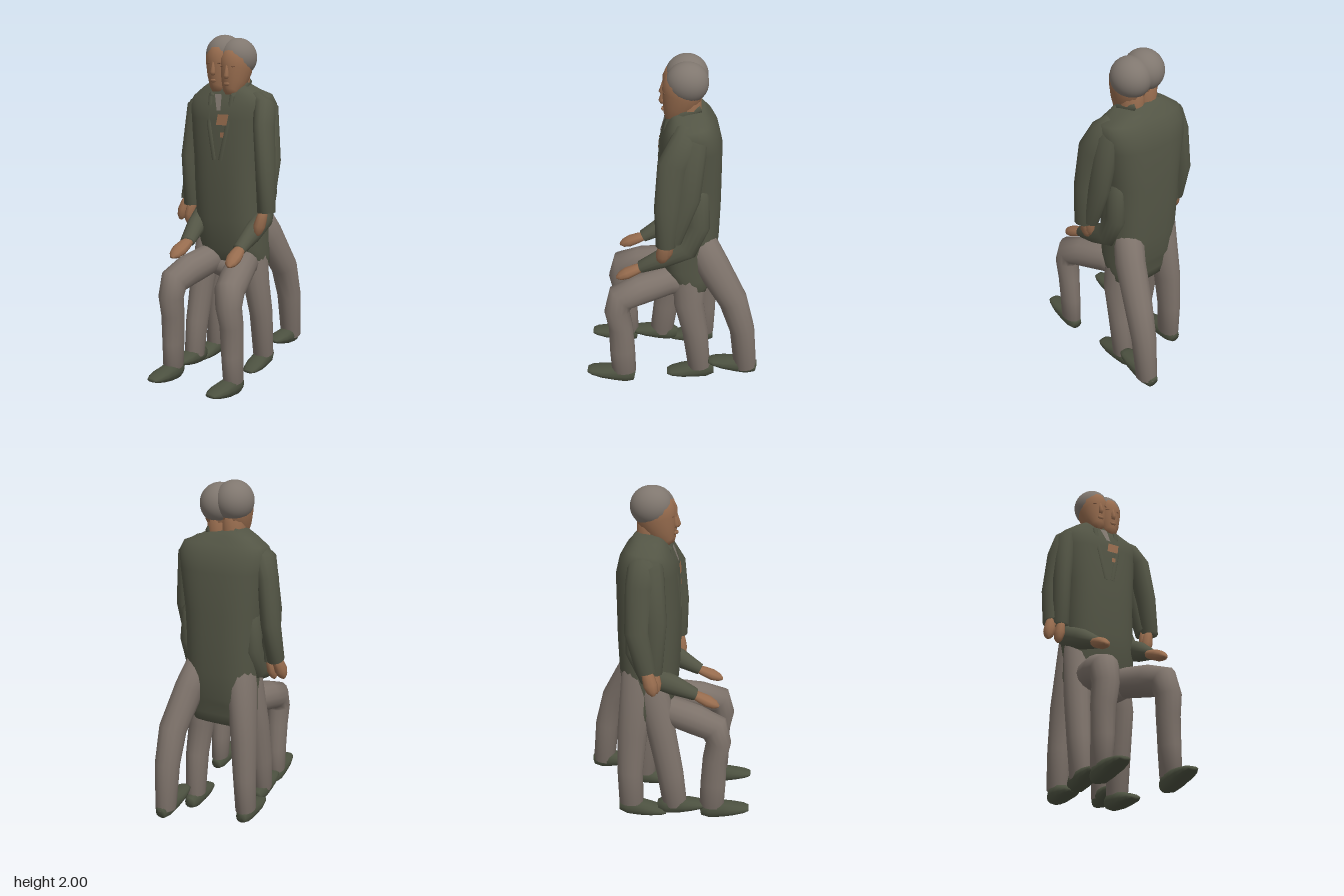
import * as THREE from 'three';

const mat = (name, color) => Object.assign(new THREE.MeshStandardMaterial({ color }), { name });

// Smooth skin over rings along a path; each ring is [x, y, z, half width, half depth]
function loft(rings, sides = 14, power = 2) {
  const pos = [], idx = [], n = rings.length;
  const P = rings.map(r => new THREE.Vector3(r[0], r[1], r[2]));
  const round = c => Math.sign(c) * Math.abs(c) ** (2 / power);
  rings.forEach((r, i) => {
    const t = P[Math.min(i + 1, n - 1)].clone().sub(P[Math.max(i - 1, 0)]).normalize();
    const u = new THREE.Vector3(1, 0, 0).addScaledVector(t, -t.x).normalize();
    const v = t.clone().cross(u);
    for (let j = 0; j < sides; j++) {
      const a = j / sides * Math.PI * 2;
      const p = P[i].clone().addScaledVector(u, r[3] * round(Math.cos(a))).addScaledVector(v, r[4] * round(Math.sin(a)));
      pos.push(p.x, p.y, p.z);
    }
  });
  const first = n * sides, last = first + 1, top = (n - 1) * sides;
  pos.push(...P[0].toArray(), ...P[n - 1].toArray());
  for (let j = 0; j < sides; j++) {
    const k = (j + 1) % sides;
    for (let i = 0; i < n - 1; i++) {
      const a = i * sides + j, b = i * sides + k;
      idx.push(a, b, a + sides, b, b + sides, a + sides);
    }
    idx.push(first, k, j, last, top + j, top + k);
  }
  const g = new THREE.BufferGeometry();
  g.setAttribute('position', new THREE.Float32BufferAttribute(pos, 3));
  g.setIndex(idx);
  g.computeVertexNormals();
  return g;
}

export function createModel() {
  const model = new THREE.Group();
  const green = mat('jacketGreen', 0x535545), taupe = mat('trouserTaupe', 0x7d726a);
  const grey = mat('hairGrey', 0x80776f), skin = mat('skin', 0x976c4e);
  const shoeGreen = mat('shoeGreen', 0x4c5140), dark = mat('featureBrown', 0x7a553e);
  const add = (name, geo, m, parent = model) => {
    const mesh = new THREE.Mesh(geo, m);
    mesh.name = name;
    parent.add(mesh);
    return mesh;
  };

  // Jacket body
  const body = [
    [0.01, 0.6, -0.15, 0.17, 0.065], [0.01, 0.65, -0.14, 0.208, 0.095], [0.01, 0.71, -0.115, 0.213, 0.13],
    [0.01, 0.78, -0.1, 0.213, 0.158],
    [0.005, 0.95, -0.1, 0.214, 0.174], [0, 1.15, -0.1, 0.218, 0.18], [0, 1.3, -0.1, 0.223, 0.18],
    [0, 1.53, -0.105, 0.25, 0.173], [0, 1.61, -0.1, 0.262, 0.155], [0, 1.66, -0.095, 0.24, 0.13],
    [0, 1.7, -0.09, 0.17, 0.105], [0.005, 1.735, -0.09, 0.11, 0.085],
  ];
  add('jacket', loft(body, 36, 2.7), green);

  // Flat outline draped on the jacket front
  const frontZ = y => {
    const i = Math.max(1, body.findIndex(r => r[1] >= y)), a = body[i - 1], b = body[i];
    return THREE.MathUtils.mapLinear(y, a[1], b[1], a[2] + a[4], b[2] + b[4]);
  };
  const patch = (name, points, m) => {
    const g = new THREE.ShapeGeometry(new THREE.Shape(points.map(p => new THREE.Vector2(...p))));
    const p = g.attributes.position;
    for (let i = 0; i < p.count; i++) p.setZ(i, frontZ(p.getY(i)) + 0.006);
    g.computeVertexNormals();
    add(name, g, m);
  };
  patch('shirtFront', [[-0.04, 1.67], [-0.01, 1.58], [0.015, 1.58], [0.005, 1.67]], grey);
  patch('chestSkin', [[-0.01, 1.5], [0.06, 1.5], [0.07, 1.56], [0, 1.56]], skin);
  patch('chestSkinSmall', [[0.02, 1.43], [0.04, 1.43], [0.045, 1.46], [0.02, 1.46]], skin);
  for (const s of [-1, 1]) {
    // Lapels and turned collar edges
    const lapel = [[0.02, 1.3], [0.06, 1.5], [0.07, 1.66]].map(p => [p[0] * s, p[1], frontZ(p[1]) - 0.005, 0.016, 0.009]);
    add('lapel', loft(lapel, 8), green);
    add('collar', loft([[s * 0.065, 1.65, 0.02, 0.02, 0.025], [s * 0.1, 1.71, -0.06, 0.025, 0.03],
      [s * 0.07, 1.735, -0.15, 0.025, 0.025]], 8), green);
  }

  // Sleeves
  const sleeves = {
    leftForwardSleeve: [[0.165, 1.645, -0.09, 0.045, 0.07], [0.225, 1.6, -0.07, 0.06, 0.085], [0.256, 1.49, -0.005, 0.055, 0.085],
      [0.285, 1.25, 0.025, 0.053, 0.073], [0.298, 1.02, 0.035, 0.05, 0.055]],
    leftHangingSleeve: [[0.165, 1.64, -0.11, 0.045, 0.07], [0.22, 1.59, -0.11, 0.06, 0.08], [0.265, 1.3, -0.08, 0.05, 0.075],
      [0.275, 1.04, 0, 0.045, 0.055]],
    rightBackSleeve: [[-0.165, 1.645, -0.1, 0.045, 0.07], [-0.225, 1.6, -0.1, 0.06, 0.085], [-0.258, 1.5, -0.115, 0.055, 0.08],
      [-0.285, 1.25, -0.13, 0.052, 0.07], [-0.3, 1.02, -0.08, 0.048, 0.055]],
    rightHangingSleeve: [[-0.165, 1.64, -0.08, 0.045, 0.07], [-0.22, 1.59, -0.07, 0.06, 0.08], [-0.255, 1.3, -0.04, 0.052, 0.07],
      [-0.255, 1.0, -0.05, 0.05, 0.055]],
    leftBentSleeve: [[0.17, 1.33, -0.14, 0.03, 0.05], [0.2, 1.27, -0.145, 0.045, 0.062], [0.21, 1.1, -0.15, 0.05, 0.065],
      [0.215, 0.95, -0.08, 0.055, 0.07], [0.215, 0.89, 0.05, 0.05, 0.06], [0.205, 0.825, 0.18, 0.04, 0.035]],
    rightBentSleeve: [[-0.15, 1.33, -0.14, 0.03, 0.05], [-0.18, 1.27, -0.145, 0.045, 0.062], [-0.19, 1.1, -0.15, 0.05, 0.065],
      [-0.185, 0.95, -0.08, 0.055, 0.07], [-0.165, 0.89, 0.05, 0.055, 0.06], [-0.14, 0.825, 0.18, 0.045, 0.035]],
  };
  for (const [name, rings] of Object.entries(sleeves)) add(name, loft(rings), green);

  // Hands: rounded mitts between wrist and fingertips
  const hand = (name, a, b, w, d) => add(name, loft(
    [[0, 0.7], [0.3, 0.9], [0.6, 1], [0.85, 0.75], [1, 0.25]].map(([t, k]) =>
      [...a.map((c, i) => c + (b[i] - c) * t), w * k, d * k]), 10), skin);
  hand('leftForwardHand', [0.285, 1.03, 0.04], [0.25, 0.88, 0.06], 0.033, 0.04);
  hand('leftHangingHand', [0.275, 1.05, 0.01], [0.25, 0.9, 0.04], 0.03, 0.035);
  hand('rightBackHand', [-0.3, 1.04, -0.08], [-0.335, 0.895, -0.035], 0.035, 0.04);
  hand('rightHangingHand', [-0.25, 1.02, -0.05], [-0.275, 0.88, -0.03], 0.03, 0.04);
  hand('leftRestingHand', [0.205, 0.83, 0.16], [0.22, 0.76, 0.32], 0.044, 0.033);
  hand('rightRestingHand', [-0.14, 0.83, 0.16], [-0.155, 0.76, 0.32], 0.047, 0.033);

  // Trousers
  const legs = {
    leftSeatedLeg: [[0.11, 0.685, -0.1, 0.08, 0.08], [0.135, 0.69, 0.02, 0.087, 0.09], [0.185, 0.653, 0.19, 0.087, 0.092],
      [0.215, 0.615, 0.3, 0.083, 0.09], [0.225, 0.53, 0.325, 0.073, 0.075], [0.232, 0.42, 0.305, 0.066, 0.072],
      [0.235, 0.25, 0.3, 0.058, 0.077], [0.24, 0.09, 0.295, 0.052, 0.075]],
    rightSeatedLeg: [[-0.07, 0.685, -0.1, 0.08, 0.08], [-0.095, 0.69, 0.02, 0.087, 0.09], [-0.135, 0.653, 0.19, 0.087, 0.092],
      [-0.155, 0.615, 0.3, 0.08, 0.09], [-0.16, 0.53, 0.325, 0.073, 0.075], [-0.163, 0.42, 0.305, 0.067, 0.072],
      [-0.165, 0.25, 0.3, 0.058, 0.077], [-0.17, 0.09, 0.295, 0.052, 0.075]],
    leftStandingLeg: [[0.12, 0.95, -0.11, 0.08, 0.11], [0.165, 0.55, -0.1, 0.075, 0.09], [0.178, 0.35, -0.14, 0.068, 0.078], [0.18, 0.08, -0.17, 0.06, 0.07]],
    rightStandingLeg: [[-0.12, 0.95, -0.14, 0.085, 0.11], [-0.155, 0.55, -0.19, 0.075, 0.09], [-0.168, 0.3, -0.205, 0.066, 0.078], [-0.175, 0.08, -0.2, 0.06, 0.075]],
    rightSteppingLeg: [[-0.12, 0.95, -0.09, 0.085, 0.1], [-0.158, 0.55, -0.01, 0.072, 0.085], [-0.168, 0.3, 0.04, 0.064, 0.08], [-0.17, 0.08, 0.07, 0.055, 0.075]],
    leftTrailingLeg: [[0.12, 0.98, -0.15, 0.085, 0.09], [0.172, 0.82, -0.23, 0.083, 0.1], [0.218, 0.6, -0.36, 0.08, 0.085],
      [0.227, 0.4, -0.42, 0.073, 0.075], [0.23, 0.12, -0.45, 0.06, 0.07]],
  };
  for (const [name, rings] of Object.entries(legs)) add(name, loft(rings), taupe);
  const seat = add('trouserSeat', new THREE.SphereGeometry(1, 20, 14), taupe);
  seat.scale.set(0.17, 0.075, 0.1);
  seat.position.set(0.03, 0.645, -0.05);

  // Shoes, from heel to toe
  const shoe = (name, x, y, z, lift, splay = 0) => add(name, loft(
    [[0, 0.055, 0.032, 0.035], [0.05, 0.058, 0.05, 0.053], [0.13, 0.055, 0.054, 0.048], [0.2, 0.052, 0.055, 0.035],
      [0.26, 0.05, 0.045, 0.022], [0.29, 0.048, 0.03, 0.01]].map(([d, h, w, t]) =>
      [x + splay * d, y + h + lift * d, z + d, w, t]), 12, 2.4), shoeGreen);
  shoe('leftSeatedShoe', 0.24, 0, 0.23, 0.13, -0.05);
  shoe('rightSeatedShoe', -0.17, 0, 0.23, 0.13, 0.02);
  shoe('leftStandingShoe', 0.175, 0, -0.26, -0.05, 0.03);
  shoe('rightStandingShoe', -0.175, 0, -0.27, -0.05, -0.03);
  shoe('rightSteppingShoe', -0.17, 0.01, -0.03, 0.13);
  shoe('leftTrailingShoe', 0.23, 0.06, -0.515, 0.14, -0.05);

  // Two heads sharing one collar
  [['rightHead', -0.043, 0], ['leftHead', 0.045, -0.018]].forEach(([name, x, y]) => {
    const head = new THREE.Group();
    head.name = name;
    head.position.set(x, y, 0);
    model.add(head);
    add('neck', loft([[0, 1.62, -0.09, 0.065, 0.07], [0, 1.82, -0.08, 0.065, 0.08]]), skin, head);
    add('face', loft([[0, 1.68, 0.01, 0.025, 0.028], [0, 1.7, 0, 0.045, 0.05], [0, 1.75, -0.028, 0.07, 0.085],
      [0, 1.82, -0.052, 0.088, 0.107], [0, 1.88, -0.06, 0.092, 0.11], [0, 1.93, -0.06, 0.072, 0.09],
      [0, 1.96, -0.06, 0.04, 0.045]], 20), skin, head);
    add('nose', loft([[0, 1.778, 0.048, 0.01, 0.012], [0, 1.792, 0.054, 0.015, 0.018], [0, 1.85, 0.042, 0.008, 0.01]], 8), skin, head);
    add('lips', loft([[0, 1.738, 0.047, 0.012, 0.006], [0, 1.746, 0.05, 0.022, 0.008], [0, 1.754, 0.05, 0.014, 0.006]], 8), skin, head);
    for (const s of [-1, 1]) {
      const eye = add('eye', new THREE.SphereGeometry(1, 10, 6), dark, head);
      eye.scale.set(0.013, 0.004, 0.003);
      eye.position.set(s * 0.036, 1.843, 0.042);
      eye.rotation.y = s * 0.4;
    }
    const hair = add('hair', new THREE.SphereGeometry(1, 28, 18, 0, Math.PI * 2, 0, Math.PI * 0.76), grey, head);
    hair.scale.set(0.106, 0.11, 0.116);
    hair.position.set(0, 1.89, -0.08);
  });
  return model;
}
